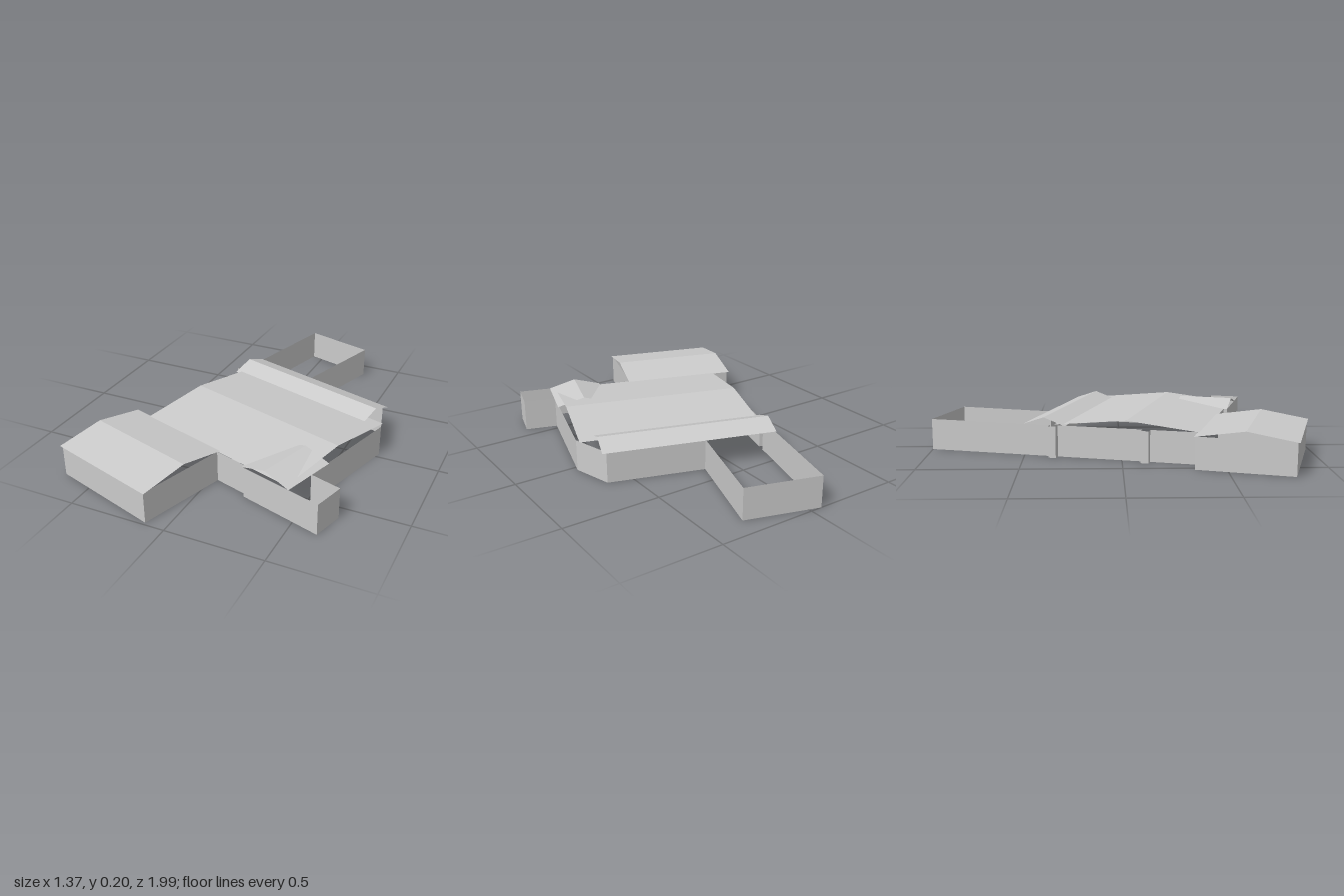
import * as THREE from 'three';

const WALL = 0.163, RIDGE = 0.203, TURN = -0.3;

const material = new THREE.MeshStandardMaterial({
  color: 0xcccccc, flatShading: true, side: THREE.DoubleSide,
});

// Sheet between two matching rows of [x, y, z] points
function strip(name, rowA, rowB) {
  const pos = [];
  for (let i = 0; i < rowA.length - 1; i++) {
    const [a, b, c, d] = [rowA[i], rowA[i + 1], rowB[i + 1], rowB[i]];
    pos.push(...a, ...b, ...c, ...a, ...c, ...d);
  }
  const geo = new THREE.BufferGeometry();
  geo.setAttribute('position', new THREE.Float32BufferAttribute(pos, 3));
  geo.computeVertexNormals();
  const mesh = new THREE.Mesh(geo, material);
  mesh.name = name;
  return mesh;
}

// Open gable roof with its ridge along x
function roofAlongX(name, x0, x1, back, ridge, front) {
  const row = (x) => [[x, WALL, back], [x, RIDGE, ridge], [x, WALL, front]];
  return strip(name, row(x0), row(x1));
}

// Open gable roof with its ridge along z
function roofAlongZ(name, z0, z1, left, ridge, right) {
  const row = (z) => [[left, WALL, z], [ridge, RIDGE, z], [right, WALL, z]];
  return strip(name, row(z1), row(z0));
}

// Small square bump on a wall running from p to q, centred at z
function pier(p, q, z, width = 0.04, depth = 0.037) {
  const a = new THREE.Vector2(...p), dir = new THREE.Vector2(...q).sub(a);
  const mid = a.clone().addScaledVector(dir, (z - a.y) / dir.y);
  dir.normalize();
  const out = new THREE.Vector2(dir.y, -dir.x);
  if (out.x > 0) out.negate();
  return [[-1, 0], [-1, 1], [1, 1], [1, 0]].map(([s, o]) =>
    mid.clone().addScaledVector(dir, s * width / 2).addScaledVector(out, o * depth).toArray());
}

export function createModel() {
  const model = new THREE.Group();
  model.name = 'house';

  // Outer walls: one closed outline of [x, z] corners
  const sideStart = [-0.433, 0.372], yardCorner = [-0.06, -1];
  const outline = [
    [-0.105, 0.985], [-0.675, 0.805], [-0.53, 0.345],   // front wing
    sideStart,
    ...pier(sideStart, yardCorner, 0.12),
    ...pier(sideStart, yardCorner, -0.345),
    yardCorner, [0.31, -0.89], [0.15, -0.383],          // back yard
    [0.625, -0.236], [0.68, -0.03], [0.52, 0.53],       // main side
    [0.68, 0.58], [0.635, 0.74], [0.21, 0.61],          // porch
    [0.215, 0.591], [0.035, 0.536],
  ];
  outline.push(outline[0]);
  model.add(strip('walls',
    outline.map(([x, z]) => [x, 0, z]),
    outline.map(([x, z]) => [x, WALL, z])));

  // Roofs, turned together
  const roofs = new THREE.Group();
  roofs.name = 'roofs';
  roofs.rotation.y = TURN;
  roofs.add(
    roofAlongX('mainRoof', -0.313, 0.629, -0.263, 0.118, 0.5),
    roofAlongX('backRoof', -0.342, 0.55, -0.425, -0.311, -0.197),
    roofAlongX('wingRoof', -0.415, 0.2, 0.48, 0.729, 0.978),
    roofAlongZ('porchRoof', 0.222, 0.521, 0.371, 0.514, 0.657),
  );
  model.add(roofs);
  return model;
}
